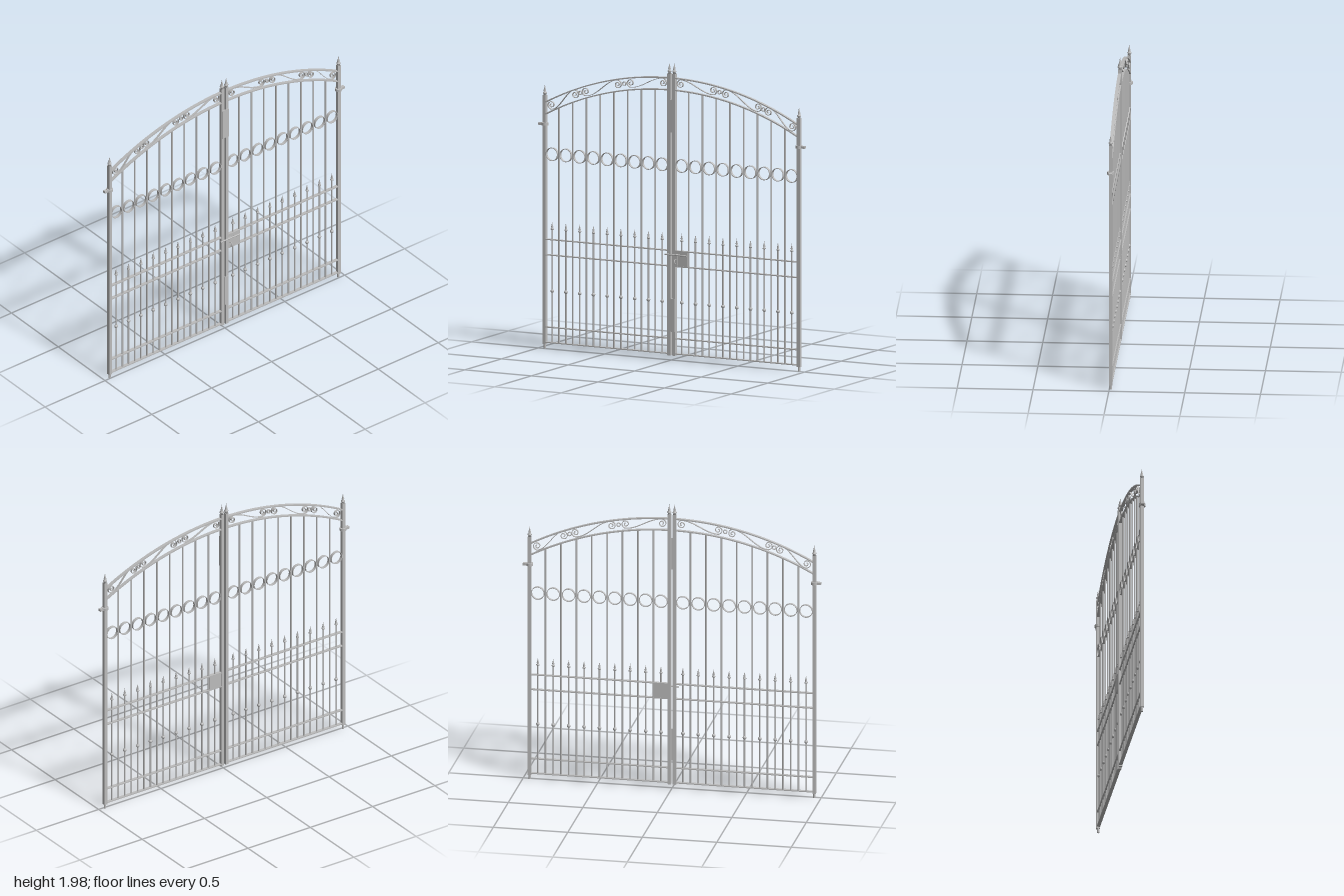
import * as THREE from 'three';

const steel = new THREE.MeshStandardMaterial({ color: 0xbcbcbc });
steel.name = 'steel grey';

function add(parent, name, geometry, x = 0, y = 0, z = 0) {
  const mesh = new THREE.Mesh(geometry, steel);
  mesh.name = name;
  mesh.position.set(x, y, z);
  parent.add(mesh);
  return mesh;
}

const box = (w, h, d) => new THREE.BoxGeometry(w, h, d);
const lathe = (pts, n = 12) => new THREE.LatheGeometry(pts.map(p => new THREE.Vector2(...p)), n);

// Flat strap of width w and depth d that follows points in the xy plane
function strap(points, w, d) {
  const left = [], right = [];
  points.forEach((p, i) => {
    const a = points[Math.max(i - 1, 0)], b = points[Math.min(i + 1, points.length - 1)];
    const t = b.clone().sub(a).normalize();
    left.push(new THREE.Vector2(p.x - t.y * w / 2, p.y + t.x * w / 2));
    right.push(new THREE.Vector2(p.x + t.y * w / 2, p.y - t.x * w / 2));
  });
  const shape = new THREE.Shape([...left, ...right.reverse()]);
  return new THREE.ExtrudeGeometry(shape, { depth: d, bevelEnabled: false }).translate(0, 0, -d / 2);
}

// Flat hoop: a short pipe whose axis is z
function hoop(r, w, d, n = 32) {
  const shape = new THREE.Shape().absarc(0, 0, r, 0, Math.PI * 2);
  shape.holes.push(new THREE.Path().absarc(0, 0, r - w, 0, Math.PI * 2, true));
  return new THREE.ExtrudeGeometry(shape, { depth: d, bevelEnabled: false, curveSegments: n }).translate(0, 0, -d / 2);
}

// Height of the arch below its crown at distance x from the centre
const R = 2.017;
const drop = x => R - Math.sqrt(R * R - x * x);

function archPoints(top) {
  return Array.from({ length: 29 }, (_, i) => {
    const x = 0.026 + i / 28 * 0.921;
    return new THREE.Vector2(x, top - drop(x));
  });
}

// S-scroll: spiral round a, sweep to the top of b, spiral round b
function scrollPoints(a, b, r) {
  const pts = [], turns = 1.5 * Math.PI * 2, n = 36;
  const spiral = (c, start, t) => {
    const rad = r * (1 - 0.8 * t), ang = start - turns * t;
    return new THREE.Vector2(c.x + rad * Math.cos(ang), c.y + rad * Math.sin(ang));
  };
  for (let i = n; i >= 0; i--) pts.push(spiral(a, -Math.PI / 2, i / n));
  const p = pts.pop(), q = new THREE.Vector2(b.x, b.y + r);
  const reach = (b.x - a.x) * 0.35;
  const sweep = new THREE.CubicBezierCurve(p, new THREE.Vector2(p.x + reach, p.y),
    new THREE.Vector2(q.x - reach, q.y), q);
  pts.push(...sweep.getPoints(16));
  for (let i = 1; i <= n; i++) pts.push(spiral(b, Math.PI / 2, i / n));
  return pts;
}

const finial = () => lathe([[0, 0], [0.011, 0], [0.008, 0.006], [0.014, 0.012], [0.014, 0.017],
  [0.007, 0.023], [0.009, 0.03], [0.0035, 0.052], [0, 0.072]]);
const spear = () => lathe([[0.0055, 0], [0.0115, 0.004], [0.0115, 0.009], [0.005, 0.013],
  [0.008, 0.02], [0.003, 0.04], [0, 0.056]], 10);

function buildLeaf(side) {
  const leaf = new THREE.Group();
  leaf.name = side > 0 ? 'leftLeaf' : 'rightLeaf';

  // Hinge post and meeting post, with feet and finials
  for (const [name, x, top] of [['hingePost', 0.955, 1.69], ['meetingPost', 0.018, 1.91]]) {
    add(leaf, name, box(0.023, top - 0.03, 0.023), side * x, (top + 0.03) / 2);
    add(leaf, name + 'Finial', finial(), side * x, top);
  }
  add(leaf, 'foot', new THREE.CylinderGeometry(0.008, 0.008, 0.032, 12), side * 0.955, 0.016);

  // Hinge: collar on the post and a lug towards the wall
  add(leaf, 'hingeCollar', new THREE.CylinderGeometry(0.023, 0.023, 0.018, 20), side * 0.955, 1.497);
  add(leaf, 'hingeLug', box(0.045, 0.016, 0.023), side * 0.9775, 1.497);

  // Horizontal rails
  for (const y of [0.042, 0.144, 0.626, 0.729])
    add(leaf, 'rail', box(0.925, 0.007, 0.022), side * 0.4865, y);

  // Arched top rails
  for (const top of [1.88, 1.8]) {
    const pts = archPoints(top).map(p => new THREE.Vector2(p.x * side, p.y));
    add(leaf, 'archRail', strap(pts, 0.008, 0.022));
  }

  // Short spear bars with a hoop above each
  for (let i = 0; i < 9; i++) {
    const x = side * (0.0735 + i * 0.1033);
    add(leaf, 'shortBar', new THREE.CylinderGeometry(0.0055, 0.0055, 0.75, 8), x, 0.42);
    add(leaf, 'barKnot', new THREE.SphereGeometry(0.0125, 12, 8), x, 0.387);
    add(leaf, 'spear', spear(), x, 0.793);
    add(leaf, 'hoop', hoop(0.0445, 0.004, 0.02), x, 1.299);
  }

  // Tall bars up to the lower arch
  for (let i = 0; i < 8; i++) {
    const x = 0.125 + i * 0.1033, top = 1.8 - drop(x);
    add(leaf, 'tallBar', new THREE.CylinderGeometry(0.006, 0.006, top - 0.042, 8), side * x, (top + 0.042) / 2);
  }

  // Scrollwork inside the arch
  const ends = [[-0.904, 1.628, -0.727, 1.712], [-0.647, 1.738, -0.406, 1.804], [-0.31, 1.822, -0.066, 1.844]];
  for (const [ax, ay, bx, by] of ends) {
    const pts = scrollPoints(new THREE.Vector2(ax, ay), new THREE.Vector2(bx, by), 0.029)
      .map(p => new THREE.Vector2(-side * p.x, p.y));
    add(leaf, 'scroll', strap(pts, 0.004, 0.014));
  }
  for (const [x, y] of [[0.687, 1.726], [0.358, 1.814]])
    add(leaf, 'scrollRing', hoop(0.014, 0.004, 0.014, 16), side * x, y);

  return leaf;
}

function buildLock() {
  const lock = new THREE.Group();
  lock.name = 'lock';
  add(lock, 'lockCase', box(0.094, 0.1, 0.02), 0.075, 0.678);
  add(lock, 'lockPlate', box(0.022, 0.075, 0.006), 0.038, 0.672, 0.013);

  // Sliding bolt across the gap
  const bolt = add(lock, 'bolt', new THREE.CylinderGeometry(0.005, 0.005, 0.16, 10), 0.037, 0.704, 0.018);
  bolt.rotation.z = Math.PI / 2;

  // Bent pull handle
  const path = new THREE.CatmullRomCurve3([[0.672, 0.014], [0.672, 0.032], [0.664, 0.0375],
    [0.655, 0.0375], [0.647, 0.032], [0.647, 0.022]].map(([y, z]) => new THREE.Vector3(0.038, y, z)));
  add(lock, 'handle', new THREE.TubeGeometry(path, 20, 0.0035, 8));
  return lock;
}

export function createModel() {
  const gate = new THREE.Group();
  gate.name = 'doubleGate';
  const frame = new THREE.Group();
  frame.name = 'frame';
  frame.position.z = -0.009;
  gate.add(frame);

  frame.add(buildLeaf(1), buildLeaf(-1), buildLock());

  // Cover plates over the meeting posts
  add(frame, 'upperCoverPlate', box(0.054, 0.22, 0.006), 0, 1.63, 0.0145);
  add(frame, 'lowerCoverPlate', box(0.034, 0.22, 0.006), 0.008, 0.3, 0.0145);
  return gate;
}
